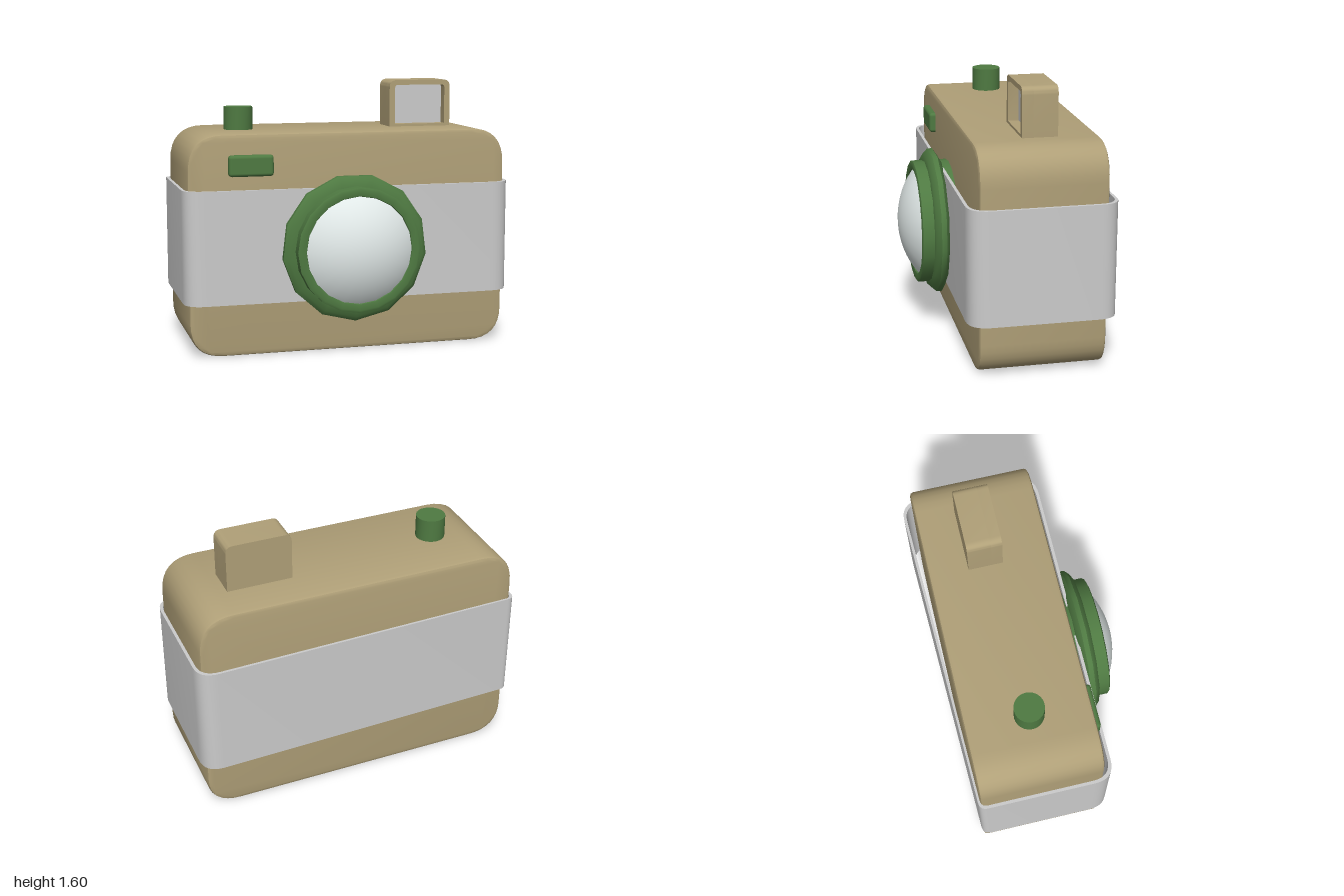
import * as THREE from 'three';
import { toCreasedNormals } from 'three/addons/utils/BufferGeometryUtils.js';
import { RoundedBoxGeometry } from 'three/addons/geometries/RoundedBoxGeometry.js';

const mat = (color, side = THREE.FrontSide) => new THREE.MeshStandardMaterial({ color, side });
const tan = mat(0xb0a078);
const green = mat(0x4f7a42);
const grey = mat(0xcccccc, THREE.DoubleSide);
const glass = mat(0xe4eceb, THREE.DoubleSide);

// Closed outline from [x, y, cornerRadius] corners
function outline(corners, Type = THREE.Shape) {
  const path = new Type();
  const n = corners.length;
  corners.forEach(([x, y, r], i) => {
    const corner = new THREE.Vector2(x, y);
    const toward = ([a, b]) => new THREE.Vector2(a, b).sub(corner).setLength(r).add(corner);
    const a = toward(corners[(i + n - 1) % n]);
    const b = toward(corners[(i + 1) % n]);
    if (i === 0) path.moveTo(a.x, a.y);
    else path.lineTo(a.x, a.y);
    if (r > 0) path.quadraticCurveTo(x, y, b.x, b.y);
  });
  path.closePath();
  return path;
}

const rect = (x0, y0, x1, y1, rBottom, rTop) =>
  [[x0, y0, rBottom], [x1, y0, rBottom], [x1, y1, rTop], [x0, y1, rTop]];

function extrude(shape, depth, options = {}) {
  const geo = new THREE.ExtrudeGeometry(shape, { depth, bevelEnabled: false, curveSegments: 8, ...options });
  return toCreasedNormals(geo, 0.6);
}

export function createModel() {
  const model = new THREE.Group();
  model.name = 'camera';

  function add(name, geometry, material, x = 0, y = 0, z = 0, parent = model) {
    const mesh = new THREE.Mesh(geometry, material);
    mesh.name = name;
    mesh.position.set(x, y, z);
    parent.add(mesh);
    return mesh;
  }

  // Main body with rounded corners and a slight edge bevel
  const b = 0.02;
  const bodyShape = outline(rect(-0.97 + b, 0.01 + b, 0.97 - b, 1.32 - b, 0.18, 0.19));
  add('body', extrude(bodyShape, 0.725 - 2 * b,
    { bevelEnabled: true, bevelSize: b, bevelThickness: b, bevelSegments: 2 }), tan, 0, 0, -0.488 + b);

  // Thin wrap-around band, its back slanting slightly
  const band = outline([[-1, -0.3, 0.12], [1, -0.3, 0.13], [1, 0.555, 0.12], [-1, 0.5, 0.05]]);
  band.holes.push(outline(
    [[-0.982, 0.488, 0.04], [0.982, 0.538, 0.11], [0.982, -0.282, 0.12], [-0.982, -0.282, 0.11]], THREE.Path));
  add('band', extrude(band, 0.67).rotateX(-Math.PI / 2), grey, 0, 0.33, 0);

  // Lens: barrel, faceted collar and domed glass
  const lens = new THREE.Group();
  lens.name = 'lens';
  lens.position.set(0, 0.645, 0);
  model.add(lens);
  const turn = (points, segments) => toCreasedNormals(
    new THREE.LatheGeometry(points.map(([r, z]) => new THREE.Vector2(r, z)), segments).rotateX(Math.PI / 2), 0.7);
  add('lensBarrel', turn([[0.37, 0.22], [0.37, 0.45], [0.355, 0.457], [0.32, 0.45], [0.3, 0.4]], 20),
    mat(0x4f7a42, THREE.DoubleSide), 0, 0, 0, lens);
  add('lensCollar', turn([[0.36, 0.29], [0.4, 0.295], [0.438, 0.32], [0.438, 0.35], [0.41, 0.378], [0.36, 0.385]], 13),
    green, 0, 0, 0, lens);
  const dome = new THREE.SphereGeometry(0.53, 20, 8, 0, Math.PI * 2, 0, 0.66).rotateX(Math.PI / 2);
  add('lensGlass', dome, glass, 0, 0, 0.018, lens);

  // Viewfinder: open hood, back wall and recessed window
  const finder = new THREE.Group();
  finder.name = 'viewfinder';
  model.add(finder);
  const hood = outline(rect(0.33, 1.3, 0.72, 1.605, 0, 0.045));
  const back = extrude(hood.clone(), 0.14);
  hood.holes.push(outline(
    [[0.365, 1.335, 0], [0.365, 1.575, 0.02], [0.685, 1.575, 0.02], [0.685, 1.335, 0]], THREE.Path));
  add('finderHood', extrude(hood, 0.065), tan, 0, 0, -0.115, finder);
  add('finderBack', back, tan, 0, 0, -0.255, finder);
  add('finderWindow', new THREE.PlaneGeometry(0.32, 0.24), grey, 0.525, 1.455, -0.112, finder);

  // Shutter button and small front window
  add('shutterButton', toCreasedNormals(new THREE.CylinderGeometry(0.087, 0.087, 0.15, 24), 0.6),
    green, -0.605, 1.382, -0.118);
  add('flash', new RoundedBoxGeometry(0.265, 0.125, 0.07, 3, 0.02), green, -0.6, 1.137, 0.24);

  return model;
}
